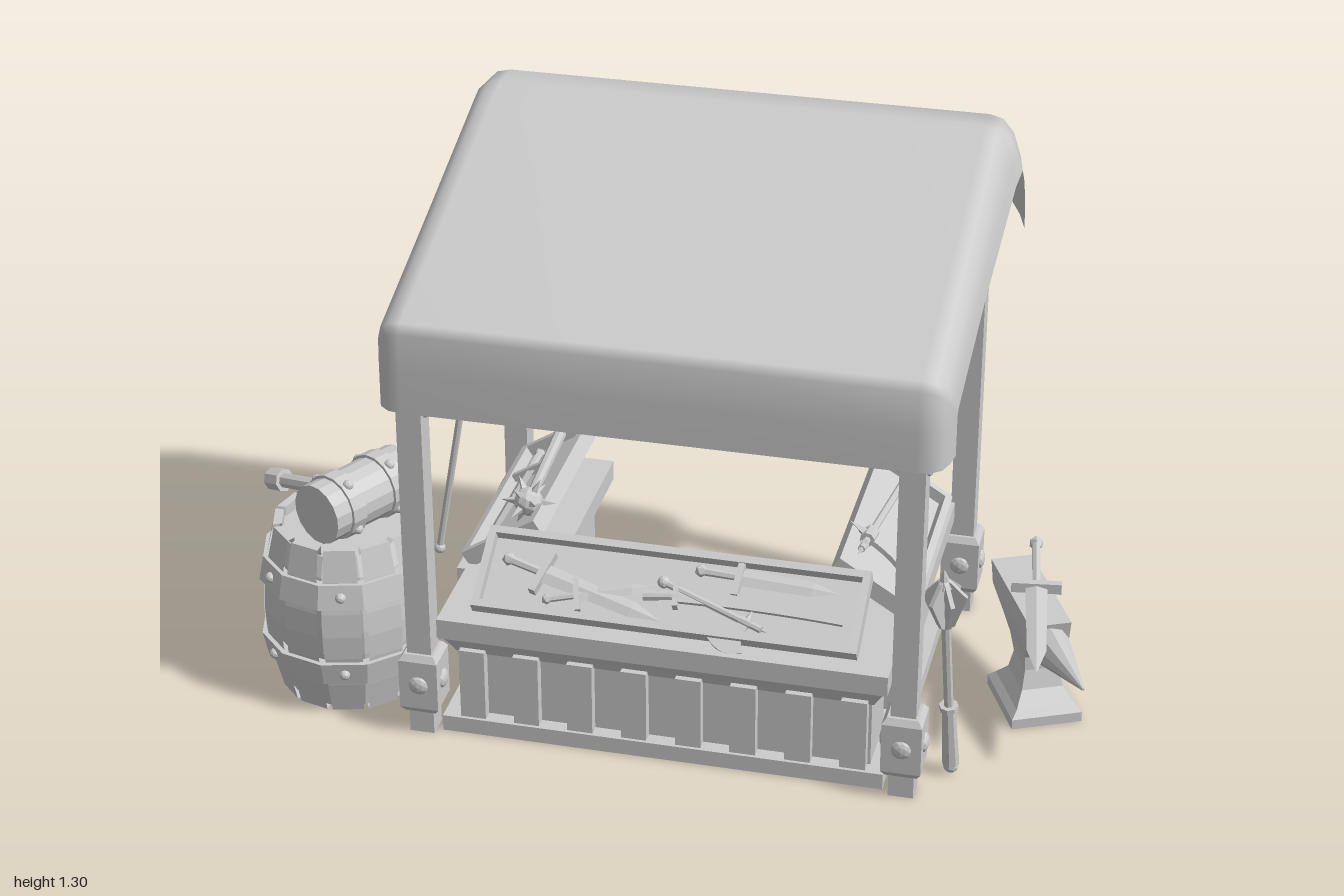
import * as THREE from 'three';

const CX = 0.055; // middle of the stall, which sits slightly off centre
const mat = (o = {}) => new THREE.MeshStandardMaterial({ color: 0xcccccc, ...o });
const flat = mat({ flatShading: true }), smooth = mat(), cloth = mat({ side: THREE.DoubleSide });
const openWood = mat({ flatShading: true, side: THREE.DoubleSide });

function add(parent, name, geo, x = 0, y = 0, z = 0, m = flat) {
  const mesh = new THREE.Mesh(geo, m);
  mesh.name = name;
  mesh.position.set(x, y, z);
  parent.add(mesh);
  return mesh;
}
function group(parent, name, x = 0, y = 0, z = 0) {
  const g = new THREE.Group();
  g.name = name;
  g.position.set(x, y, z);
  parent.add(g);
  return g;
}
// Box given by its limits
const span = (p, name, x0, x1, y0, y1, z0, z1) =>
  add(p, name, new THREE.BoxGeometry(x1 - x0, y1 - y0, z1 - z0), (x0 + x1) / 2, (y0 + y1) / 2, (z0 + z1) / 2);
const cyl = (r1, r2, h, n = 8) => new THREE.CylinderGeometry(r1, r2, h, n);
const dome = r => new THREE.IcosahedronGeometry(r, 1);

// Stacked rectangles: rows of [y, half width, half length, z offset]
function stack(rows) {
  const n = rows.length - 1, g = new THREE.BoxGeometry(2, 1, 2, 1, n, 1), p = g.attributes.position;
  for (let i = 0; i < p.count; i++) {
    const [y, w, l, o = 0] = rows[Math.round((p.getY(i) + 0.5) * n)];
    p.setXYZ(i, p.getX(i) * w, y, p.getZ(i) * l + o);
  }
  g.computeVertexNormals();
  return g;
}

// Cloth roof: stations of [z, y, side edge z, side edge y, side flare], front hem to back hem
function canopyGeometry() {
  const st = [[0.475, 0.855, 0.378, 0.855, 0], [0.473, 0.95, 0.378, 0.935, 0], [0.468, 1.045, 0.377, 0.955, 0],
    [0.45, 1.065, 0.365, 0.965, 0], [0.05, 1.185, 0.05, 1.063, 0.003], [-0.32, 1.298, -0.33, 1.176, 0.012],
    [-0.36, 1.305, -0.388, 1.19, 0.018], [-0.435, 1.303, -0.397, 1.16, 0.022], [-0.46, 1.245, -0.41, 1.1, 0.025],
    [-0.475, 1.09, -0.422, 1.03, 0.025]];
  const half = [[0.645, 1], [0.64, 0.6], [0.628, 0.25], [0.605, 0.05], [0.575, 0], [0.2, 0]];
  const cols = [...half.map(([x, t]) => [-x, t]), ...half.slice().reverse()];
  const pos = [], idx = [], n = cols.length;
  st.forEach(([z, y, sz, sy, f], i) => cols.forEach(([x, t], j) => {
    pos.push(CX + x + Math.sign(x) * f * t, y + (sy - y) * t, z + (sz - z) * t);
    if (i && j) {
      const a = (i - 1) * n + j - 1, b = a + n;
      idx.push(a, a + 1, b, b, a + 1, b + 1);
    }
  }));
  const g = new THREE.BufferGeometry();
  g.setAttribute('position', new THREE.Float32BufferAttribute(pos, 3));
  g.setIndex(idx);
  g.computeVertexNormals();
  return g;
}

// Weapons stand along +y with the pommel at the origin
function sword(p, name, len, w = 0.018, grip = 0.09) {
  const g = group(p, name), body = len - grip, tip = body * 0.25;
  add(g, 'pommel', new THREE.IcosahedronGeometry(w * 0.7, 0));
  add(g, 'grip', cyl(w * 0.4, w * 0.45, grip, 6), 0, grip / 2);
  add(g, 'guard', new THREE.BoxGeometry(w * 4.5, w * 0.7, w), 0, grip);
  add(g, 'blade', cyl(w * 0.85, w, body - tip, 4), 0, grip + (body - tip) / 2).scale.z = 0.3;
  add(g, 'bladeTip', cyl(0, w * 0.85, tip, 4), 0, len - tip / 2).scale.z = 0.3;
  return g;
}
function saber(p, name, len) {
  const g = group(p, name), sh = new THREE.Shape();
  sh.moveTo(-0.012, 0.07);
  sh.quadraticCurveTo(-0.02, len * 0.65, 0.07, len);
  sh.quadraticCurveTo(0.035, len * 0.6, 0.016, 0.07);
  add(g, 'curvedBlade', new THREE.ExtrudeGeometry(sh, { depth: 0.01, bevelEnabled: false }), 0, 0, -0.005);
  add(g, 'grip', cyl(0.01, 0.012, 0.08), 0, 0.04);
  add(g, 'guard', new THREE.BoxGeometry(0.06, 0.012, 0.022), 0, 0.075);
  return g;
}
function axe(p, name, len, s) {
  const g = group(p, name), head = group(g, 'head', 0, len - 0.07 * s);
  add(g, 'shaft', cyl(0.009, 0.009, len), 0, len / 2);
  add(g, 'pommel', dome(0.015));
  const sh = new THREE.Shape();
  sh.moveTo(0, 0.02);
  sh.quadraticCurveTo(0.08, 0.015, 0.12, 0.055);
  sh.quadraticCurveTo(0.19, -0.02, 0.095, -0.135);
  sh.quadraticCurveTo(0.09, -0.03, 0, -0.02);
  const geo = new THREE.ExtrudeGeometry(sh, { depth: 0.012, bevelEnabled: false, curveSegments: 6 });
  add(head, 'blade', geo, 0, 0, -0.006);
  add(head, 'collar', cyl(0.018, 0.018, 0.045));
  add(head, 'backSpike', cyl(0, 0.012, 0.05, 4), -0.035).rotation.z = Math.PI / 2;
  add(head, 'topSpike', cyl(0, 0.013, 0.06, 4), 0, 0.07);
  head.scale.setScalar(s);
  return g;
}
function mace(p, name, len) {
  const g = group(p, name);
  add(g, 'pommel', dome(0.018), 0, 0.01);
  add(g, 'grip', cyl(0.016, 0.02, len * 0.28), 0, len * 0.17);
  add(g, 'collar', cyl(0.022, 0.022, 0.012), 0, len * 0.32);
  add(g, 'shaft', cyl(0.011, 0.011, len * 0.62), 0, len * 0.62);
  const fin = new THREE.Shape([[0, -0.07], [0.02, -0.06], [0.05, 0.02], [0.015, 0.06], [0, 0.07]]
    .map(([x, y]) => new THREE.Vector2(x, y)));
  const geo = new THREE.ExtrudeGeometry(fin, { depth: 0.01, bevelEnabled: false }).translate(0, 0, -0.005);
  for (let i = 0; i < 6; i++) add(g, 'flange', geo, 0, len - 0.09).rotation.y = i * Math.PI / 3;
  add(g, 'tip', cyl(0, 0.018, 0.05, 6), 0, len - 0.02);
  return g;
}
function spikedClub(p, name) {
  const g = group(p, name);
  add(g, 'handle', cyl(0.012, 0.015, 0.34), 0, 0.17);
  const ball = group(g, 'spikedBall', 0, 0.36);
  add(ball, 'ball', dome(0.035));
  const v = new THREE.IcosahedronGeometry(1, 0).attributes.position, up = new THREE.Vector3(0, 1, 0);
  for (let i = 0; i < v.count; i += 2) {
    const d = new THREE.Vector3().fromBufferAttribute(v, i).normalize();
    const s = add(ball, 'spike', cyl(0, 0.01, 0.035, 4));
    s.position.copy(d).multiplyScalar(0.049);
    s.quaternion.setFromUnitVectors(up, d);
  }
  return g;
}

// Tilted display tray: x along its length, z down the slope
function tray(p, name, len, x, y, z, turn) {
  const g = group(p, name, x, y, z), d = 0.105, h = len / 2;
  g.rotation.set(0.56, turn, 0, 'YXZ');
  span(g, 'trayBoard', -h, h, 0, 0.014, -d, d);
  for (const s of [-1, 1]) {
    add(g, 'trayRim', new THREE.BoxGeometry(len, 0.042, 0.018), 0, 0.021, s * (d - 0.009));
    add(g, 'trayEnd', new THREE.BoxGeometry(0.018, 0.042, 2 * d), s * (h - 0.009), 0.021, 0);
  }
  return g;
}
// Puts a weapon flat on a tray; face is -1 or 1 for the side turned up
function lay(item, x, z, angle, y = 0.028, face = -1) {
  item.position.set(x, y, z);
  item.rotation.set(face * Math.PI / 2, 0, angle);
}

// Open rectangular frame of four walls
function frame(hw, hl, y0, y1, t) {
  const rect = (C, w, l) => new C([[-w, -l], [w, -l], [w, l], [-w, l]].map(([a, b]) => new THREE.Vector2(a, b)));
  const sh = rect(THREE.Shape, hw, hl);
  sh.holes.push(rect(THREE.Path, hw - t, hl - t));
  return new THREE.ExtrudeGeometry(sh, { depth: y1 - y0, bevelEnabled: false }).rotateX(-Math.PI / 2).translate(0, y0, 0);
}
// Counter section, hollow below: plinth, body, flared moulding and slab
function counter(p, name, x, z, hw, hl) {
  const g = group(p, name, x, 0, z);
  add(g, 'plinth', frame(hw - 0.005, hl - 0.005, 0, 0.04, 0.05));
  add(g, 'body', frame(hw - 0.04, hl - 0.04, 0.04, 0.22, 0.015));
  add(g, 'moulding', stack([[0.205, hw - 0.035, hl - 0.035], [0.225, hw - 0.025, hl - 0.025], [0.255, hw - 0.008, hl - 0.008]]));
  span(g, 'slab', -hw, hw, 0.255, 0.305, -hl, hl);
}

function chain(p, x) {
  const g = group(p, 'chain'), n = 11, link = new THREE.TorusGeometry(0.026, 0.011, 8, 14).scale(1.6, 1, 1);
  const curve = new THREE.QuadraticBezierCurve3(new THREE.Vector3(x, 0.985, 0.38),
    new THREE.Vector3(x, 0.665, 0), new THREE.Vector3(x, 0.985, -0.38));
  for (let i = 0; i < n; i++) {
    const u = (i + 0.5) / n, m = add(g, 'link', link, 0, 0, 0, smooth);
    m.position.copy(curve.getPointAt(u));
    m.quaternion.setFromUnitVectors(new THREE.Vector3(1, 0, 0), curve.getTangentAt(u));
    m.rotateX(i % 2 ? 1.75 : 0.2);
  }
}

function barrel(p) {
  const g = group(p, 'barrel', -0.75, 0, 0.25), H = 0.435, N = 12, r = y => 0.166 + 0.034 * Math.sin(Math.PI * y / H);
  const ys = [0, 0.08, 0.16, 0.22, 0.28, 0.36, H];
  const pts = [[0.14, 0], ...ys.map(y => [r(y), y]), [0.145, H], [0.145, 0.4]].map(([a, b]) => new THREE.Vector2(a, b));
  const step = 2 * Math.PI / N, stave = new THREE.LatheGeometry(pts, 1, 0.04, step - 0.08);
  for (let i = 0; i < N; i++) add(g, 'stave', stave, 0, 0, 0, openWood).rotation.y = i * step;
  const core = [[0, 0.005], ...ys.slice(0, -1).map(y => [r(y) - 0.012, y + 0.005]), [0.15, 0.41], [0, 0.41]];
  add(g, 'core', new THREE.LatheGeometry(core.map(([a, b]) => new THREE.Vector2(a, b)), N));
  for (const y of [0.12, 0.328]) {
    const lean = y < 0.2 ? 0.006 : -0.006, R = r(y) + 0.011;
    add(g, 'hoop', cyl(R + lean, R - lean, 0.06, N), 0, y);
    for (let i = 0; i < 6; i++) {
      const a = (i + 0.25) * Math.PI / 3;
      add(g, 'rivet', dome(0.013), (R - 0.006) * Math.sin(a), y, (R - 0.006) * Math.cos(a));
    }
  }
}

function mallet(p) {
  const g = group(p, 'mallet', -0.705, 0.508, 0.265);
  g.rotation.set(0, -0.5, 0.24, 'YXZ');
  const part = (n, r, l, z) => add(g, n, cyl(r, r, l, 16).rotateX(Math.PI / 2), 0, 0, z);
  part('head', 0.073, 0.26, 0);
  for (const s of [-1, 1]) {
    part('headBand', 0.08, 0.04, s * 0.065);
    for (let i = 0; i < 4; i++) {
      const a = (i + 0.5) * Math.PI / 2;
      add(g, 'bolt', dome(0.013), 0.077 * Math.cos(a), 0.077 * Math.sin(a), s * 0.065);
    }
  }
  add(g, 'handle', cyl(0.018, 0.018, 0.3).rotateZ(Math.PI / 2), -0.15);
  add(g, 'handleEnd', cyl(0.028, 0.028, 0.045).rotateZ(Math.PI / 2), -0.29);
}

function anvil(p) {
  const g = group(p, 'anvil', 0.86, 0, 0);
  g.rotation.y = 0.44;
  add(g, 'anvilBody', stack([[0, 0.085, 0.1], [0.025, 0.085, 0.1], [0.042, 0.07, 0.085], [0.075, 0.05, 0.055],
    [0.12, 0.04, 0.045, -0.005], [0.155, 0.042, 0.06, -0.02], [0.185, 0.047, 0.09, -0.035],
    [0.215, 0.05, 0.14, -0.065], [0.268, 0.05, 0.155, -0.07]]));
  // Horn: flat on top, its underside rising to the tip
  const horn = cyl(0.003, 0.05, 0.25, 10).rotateX(Math.PI / 2), q = horn.attributes.position;
  for (let i = 0; i < q.count; i++) q.setY(i, q.getY(i) + 0.16 * (q.getZ(i) + 0.125));
  add(g, 'horn', horn, 0, 0.208, 0.205);
  const blade = sword(p, 'anvilSword', 0.57, 0.026, 0.2);
  blade.position.set(0.815, 0.28, -0.26);
  blade.rotation.set(Math.PI / 2, 0, -0.14);
}

export function createModel() {
  const root = new THREE.Group();
  root.name = 'weaponStall';
  add(root, 'canopy', canopyGeometry(), 0, 0, 0, cloth);

  // Posts, their foot brackets, side beams and chains
  const bracket = stack([[0.06, 0.036, 0.036], [0.075, 0.046, 0.046], [0.2, 0.046, 0.046], [0.215, 0.036, 0.036]]);
  for (const s of [-1, 1]) {
    const x = CX + s * 0.565;
    for (const [z, top] of [[0.425, 1.03], [-0.393, 1.25]]) {
      span(root, 'post', x - 0.029, x + 0.029, 0, top, z - 0.029, z + 0.029);
      add(root, 'postBracket', bracket, x, 0, z);
      for (const [dx, dz] of [[0.045, 0], [-0.045, 0], [0, 0.045], [0, -0.045]])
        add(root, 'stud', dome(0.024), x + dx, 0.138, z + dz).scale.set(dx ? 0.5 : 1, 1, dz ? 0.5 : 1);
    }
    for (const d of [-0.03, 0.03]) add(root, 'postBolt', dome(0.011), x + d, 0.835, 0.425);
    add(root, 'postBolt', dome(0.011), x, 1.008, -0.424);
    span(root, 'sideBeam', x - 0.025, x + 0.025, 0.98, 1.037, -0.42, 0.44);
    chain(root, x);
  }
  span(root, 'frontBeam', CX - 0.56, CX + 0.56, 0.975, 1.03, 0.4, 0.45);

  // U-shaped counter with a slatted front
  counter(root, 'frontCounter', CX, 0.32, 0.525, 0.12);
  for (const s of [-1, 1]) counter(root, 'sideCounter', CX + s * 0.43, -0.08, 0.115, 0.29);
  for (let i = 0; i < 8; i++) {
    const x = CX + (i - 3.5) * 0.128;
    span(root, 'frontSlat', x - 0.03, x + 0.03, 0.035, 0.22, 0.395, 0.427);
  }

  // Trays and the weapons on display
  const front = tray(root, 'frontTray', 0.9, CX - 0.005, 0.352, 0.29, 0);
  lay(sword(front, 'longSword', 0.4, 0.024), -0.39, -0.03, -1.85);
  lay(saber(front, 'saber', 0.46), -0.06, 0.02, -1.45);
  lay(sword(front, 'shortSword', 0.32, 0.022), 0.06, -0.06, -1.62);
  lay(sword(front, 'dagger', 0.24, 0.018, 0.07), -0.28, 0.06, -1.3);
  lay(axe(front, 'handAxe', 0.26, 0.6), -0.02, -0.02, -0.35 - Math.PI / 2);

  const right = tray(root, 'rightTray', 0.53, CX + 0.43, 0.352, -0.08, Math.PI / 2);
  lay(axe(right, 'battleAxe', 0.42, 1), 0.235, -0.02, 1.68, 0.045, 1);

  const left = tray(root, 'leftTray', 0.53, CX - 0.43, 0.352, -0.08, -Math.PI / 2);
  lay(spikedClub(left, 'spikedClub'), -0.18, -0.05, -1.5, 0.06);
  lay(sword(left, 'traySword', 0.42, 0.02), -0.2, 0.04, -1.6);

  // Arms leaning on the posts
  const halberd = axe(root, 'leaningAxe', 0.92, 1);
  halberd.position.set(-0.71, 0.015, -0.33);
  halberd.rotation.set(0, -Math.PI / 2, -0.17, 'ZYX');
  const club = mace(root, 'leaningMace', 0.57);
  club.position.set(0.715, 0.01, 0.33);
  club.rotation.set(0.12, 0, 0.045);

  barrel(root);
  mallet(root);
  anvil(root);
  return root;
}
